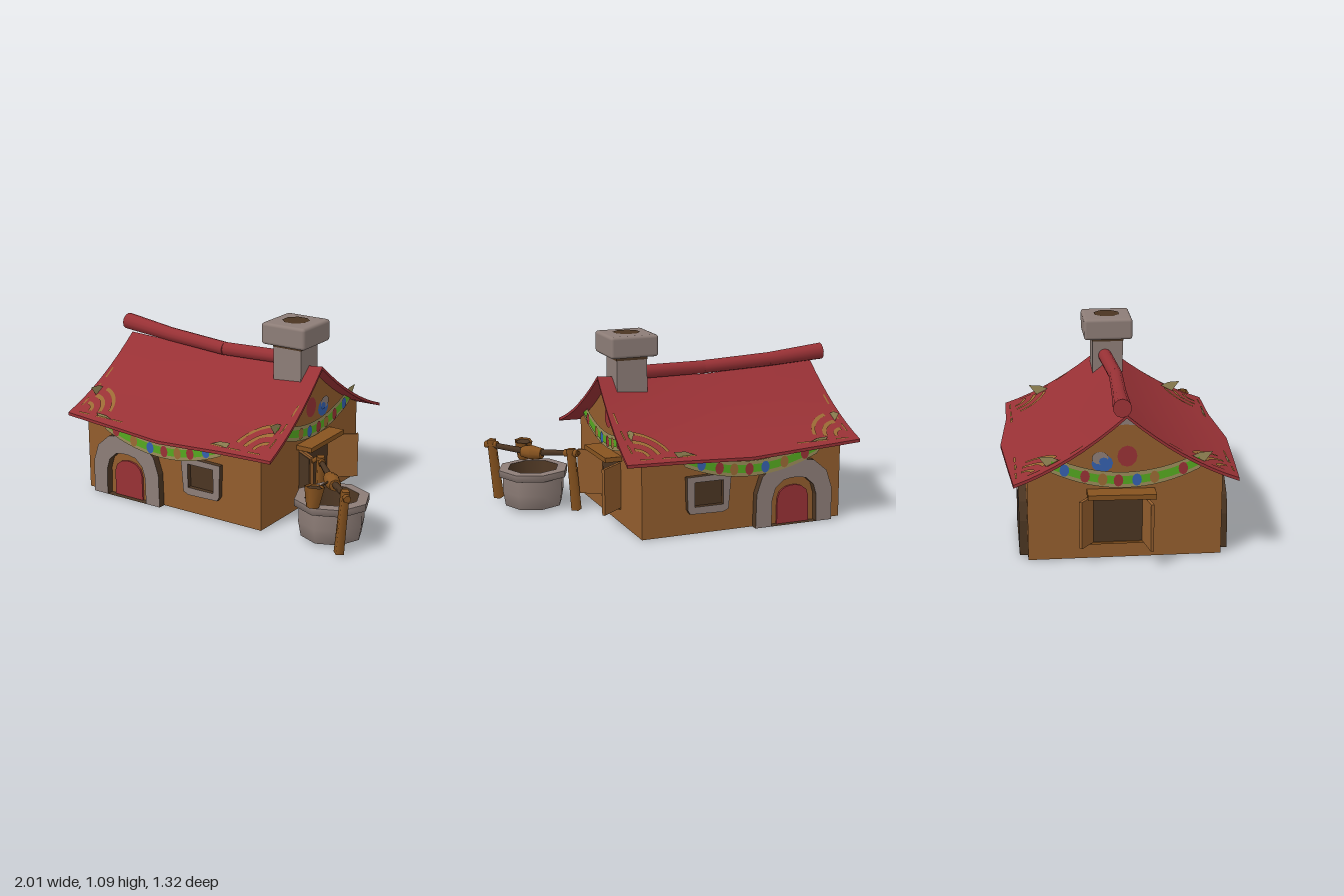
import * as THREE from 'three';
import { RoundedBoxGeometry } from 'three/addons/geometries/RoundedBoxGeometry.js';

const mat = (name, color) => new THREE.MeshStandardMaterial({ name, color, side: THREE.DoubleSide });
const V = (x, y, z = 0) => new THREE.Vector3(x, y, z);

// Roof shape, sampled along its length
const ROOF_X = [-0.91, -0.62, -0.22, 0.2, 0.47];
const RIDGE_Y = [0.84, 0.83, 0.805, 0.815, 0.84];
const EAVE_Y = [0.475, 0.465, 0.45, 0.458, 0.465];
const EAVE_Z = [0.605, 0.63, 0.66, 0.62, 0.615];
function along(values, x) {
  let i = 0;
  while (i < 3 && x > ROOF_X[i + 1]) i++;
  const f = THREE.MathUtils.clamp((x - ROOF_X[i]) / (ROOF_X[i + 1] - ROOF_X[i]), 0, 1);
  return THREE.MathUtils.lerp(values[i], values[i + 1], f);
}
function roofY(x, z) {
  const t = Math.abs(z) / along(EAVE_Z, x);
  return THREE.MathUtils.lerp(along(RIDGE_Y, x), along(EAVE_Y, x), t) - 0.16 * t * (1 - t);
}

// Band of quads between two rows of points
function strip(a, b) {
  const pos = [], index = [];
  a.forEach((p, i) => {
    pos.push(...b[i].toArray(), ...p.toArray());
    if (i) { const k = 2 * i; index.push(k - 2, k, k - 1, k, k + 1, k - 1); }
  });
  const g = new THREE.BufferGeometry();
  g.setAttribute('position', new THREE.Float32BufferAttribute(pos, 3));
  g.setIndex(index);
  g.computeVertexNormals();
  return g;
}

export function createModel() {
  const wall = mat('ochre wall', 0x925d2d), red = mat('roof red', 0x983135);
  const dark = mat('dark brown', 0x4b3522), stone = mat('stone grey', 0x8d7d77);
  const gold = mat('faded gold', 0x9a6a34), wood = mat('wood', 0x87531f);
  const green = mat('garland green', 0x55a820), tan = mat('garland tan', 0x9b8c59);
  const blue = mat('paint blue', 0x3560ad);
  const model = new THREE.Group();

  function add(parent, name, geometry, material, x = 0, y = 0, z = 0) {
    const m = new THREE.Mesh(geometry, material);
    m.name = name;
    m.position.set(x, y, z);
    parent.add(m);
    return m;
  }
  function group(parent, name) {
    const g = new THREE.Group();
    g.name = name;
    parent.add(g);
    return g;
  }
  const box = (parent, name, w, h, d, m, x, y, z) => add(parent, name, new THREE.BoxGeometry(w, h, d), m, x, y, z);
  // Tapered bar between two points
  function rod(parent, name, a, b, ra, rb, m, sides = 8) {
    const r = add(parent, name, new THREE.CylinderGeometry(rb, ra, a.distanceTo(b), sides), m);
    r.position.lerpVectors(a, b, 0.5);
    r.quaternion.setFromUnitVectors(V(0, 1, 0), b.clone().sub(a).normalize());
    return r;
  }
  function spot(parent, name, x, y, z, rx, ry, m) {
    add(parent, name, new THREE.CircleGeometry(1, 12), m, x, y, z).scale.set(rx, ry, 1);
  }

  // Garland: tan band, green centre and coloured spots, hanging in a curve
  function garland(parent, half, low, curve, spots) {
    const g = group(parent, 'garland');
    const mid = s => low + curve * s * s;
    const row = (dy, z, tip) => {
      const p = [];
      for (let i = -8; i <= 8; i++) p.push(V(half * i / 8, mid(half * i / 8) + dy, z));
      const t = V(half + 0.07, mid(half) + 0.05, z);
      return tip ? [V(-t.x, t.y, z), ...p, t] : p;
    };
    add(g, 'garlandBand', strip(row(0.046, 0, true), row(-0.044, 0, true)), tan);
    add(g, 'garlandStripe', strip(row(0.024, 0.003), row(-0.022, 0.003)), green);
    const paints = [red, gold, blue, red, gold, red, blue];
    spots.forEach((s, i) => spot(g, 'garlandSpot', s, mid(s), 0.006, 0.026, 0.035, paints[i]));
    return g;
  }

  // Long walls, each with a door and a window
  const arch = (w, h, spring) => {
    const half = [[w, 0], [w * 0.98, spring], [w * 0.84, spring + (h - spring) * 0.55], [w * 0.5, h * 0.965], [w * 0.15, h]];
    return [...half, ...half.map(([x, y]) => [-x, y]).reverse()].map(([x, y]) => new THREE.Vector2(x, y));
  };
  const extrude = (shape, depth) => new THREE.ExtrudeGeometry(shape, { depth, bevelEnabled: false });
  for (const side of [1, -1]) {
    const f = group(model, side > 0 ? 'frontFacade' : 'backFacade');
    f.scale.z = side;
    add(f, 'longWall', new THREE.PlaneGeometry(1.24, 0.475), wall, -0.22, 0.2375, 0.53);
    const surround = new THREE.Shape(arch(0.245, 0.385, 0.2));
    surround.holes.push(new THREE.Path(arch(0.145, 0.28, 0.16)));
    add(f, 'doorSurround', extrude(surround, 0.07), [stone, dark], -0.525, 0, 0.505);
    add(f, 'door', extrude(new THREE.Shape(arch(0.102, 0.225, 0.15)), 0.03), red, -0.532, 0, 0.512);
    const frame = new THREE.Shape([[-0.115, 0.135], [-0.08, 0.12], [0.12, 0.125], [0.135, 0.15], [0.14, 0.34],
      [-0.11, 0.345], [-0.13, 0.32]].map(p => new THREE.Vector2(...p)));
    frame.holes.push(new THREE.Path([[-0.083, 0.165], [0.093, 0.165], [0.093, 0.308], [-0.083, 0.308]].map(p => new THREE.Vector2(...p))));
    add(f, 'windowFrame', extrude(frame, 0.05), [stone, dark], 0, 0, 0.51);
    box(f, 'windowPane', 0.17, 0.14, 0.03, dark, 0.005, 0.236, 0.52);
    garland(f, 0.41, 0.362, 0.55, [-0.33, -0.2, -0.08, 0.02, 0.115, 0.205, 0.315]).position.set(-0.25, 0, 0.582);
  }

  // Gable ends: wall, stone trim, shuttered window, painted fruit and garland
  const gable = [[0, 0.765], [0.05, 0.76], [0.165, 0.70], [0.31, 0.60], [0.45, 0.52], [0.53, 0.475]];
  const outline = [...gable.slice(1).map(([s, y]) => [-s, y]).reverse(), ...gable];
  for (const side of [1, -1]) {
    const mirror = group(model, side > 0 ? 'leftEnd' : 'rightEnd');
    mirror.scale.x = side;
    const e = group(mirror, 'gableEnd');
    e.rotation.y = Math.PI / 2;
    const wallX = side > 0 ? 0.4 : -0.84;
    e.position.x = wallX * side;
    const tops = outline.map(([s, y]) => V(s, y));
    add(e, 'gableWall', strip(tops, outline.map(([s]) => V(s, 0))), wall);
    add(e, 'gableTrim', strip(outline.map(([s]) => V(s, roofY(wallX, s) - 0.012)), tops), stone);
    box(e, 'endWindow', 0.28, 0.28, 0.008, dark, 0.04, 0.23, 0.004);
    box(e, 'endWindowSill', 0.3, 0.012, 0.015, wood, 0.04, 0.09, 0.007);
    box(e, 'lintel', 0.37, 0.028, 0.1, wood, 0.025, 0.388, 0.05).rotation.z = 0.015;
    // Shutters swing out from the window edges: [hinge, tip along wall, tip outward]
    const swings = side > 0 ? [[-0.12, -0.2, 0.13], [0.18, 0.3, 0.145]] : [[-0.1, -0.13, 0.16], [0.18, 0.25, 0.09]];
    swings.forEach(([h, s, out], i) => {
      const sh = group(e, 'shutter');
      sh.position.set(h, 0.23, 0);
      sh.rotation.y = -Math.atan2(out, s - h);
      const len = Math.hypot(out, s - h);
      box(sh, 'shutterBoard', len, 0.27, 0.018, wall, len / 2, 0, 0);
      if (side > 0 && i === 0) box(sh, 'shutterPanel', len * 0.84, 0.24, 0.004, dark, len / 2, 0, 0.011);
    });
    spot(e, 'paintedFruit', -0.01, 0.587, 0.004, 0.054, 0.06, red);
    spot(e, 'paintedBowl', 0.125, 0.55, 0.004, 0.058, 0.05, blue);
    spot(e, 'paintedCream', 0.137, 0.582, 0.007, 0.045, 0.036, stone);
    spot(e, 'paintedBerry', 0.118, 0.563, 0.009, 0.025, 0.022, blue);
    garland(e, 0.4, 0.457, 0.62, [-0.31, -0.155, -0.06, 0.04, 0.125, 0.22, 0.33]).position.z = 0.02;
  }

  // Roof slopes: a subdivided slab bent to the roof shape, with gold corner ornaments
  for (const side of [1, -1]) {
    const r = group(model, side > 0 ? 'frontRoof' : 'backRoof');
    const g = new THREE.BoxGeometry(1, 1, 1, 4, 1, 8), p = g.attributes.position;
    for (let i = 0; i < p.count; i++) {
      const k = Math.round((p.getX(i) + 0.5) * 4), t = side * p.getZ(i) + 0.5;
      const z = side * t * EAVE_Z[k];
      const flare = k === 0 ? -0.02 : k === 4 ? 0.045 : 0;
      p.setXYZ(i, ROOF_X[k] + flare * t, roofY(ROOF_X[k], z) + (p.getY(i) > 0 ? 0 : -0.018), z);
    }
    g.computeVertexNormals();
    add(r, 'roofSlope', g, red);
    const onRoof = (x, z) => V(x, roofY(x, z) + 0.006, side * z);
    const line = (x1, z1, x2, z2, w) => {
      const a = [], b = [], dx = x2 - x1, dz = z2 - z1, l = Math.hypot(dx, dz);
      for (let i = 0; i <= 4; i++) {
        const x = x1 + dx * i / 4, z = z1 + dz * i / 4;
        a.push(onRoof(x - dz / l * w, z + dx / l * w));
        b.push(onRoof(x + dz / l * w, z - dx / l * w));
      }
      add(r, 'roofBorder', strip(a, b), gold);
    };
    for (const [cx, dir] of [[-0.86, 1], [0.43, -1]]) {
      for (const [radius, w, from, to] of [[0.06, 0.012, 0, 1], [0.125, 0.013, 0.05, 0.95], [0.19, 0.011, 0.1, 0.85]]) {
        const a = [], b = [];
        for (let i = 0; i <= 10; i++) {
          const q = Math.PI / 2 * THREE.MathUtils.lerp(from, to, i / 10), c = Math.cos(q) * dir, s = Math.sin(q);
          a.push(onRoof(cx + c * (radius + w), 0.56 - s * (radius + w)));
          b.push(onRoof(cx + c * (radius - w), 0.56 - s * (radius - w)));
        }
        add(r, 'cornerArc', strip(a, b), gold);
      }
      const edge = cx - dir * 0.025;
      for (const z of [0.3, 0.42, 0.53]) line(edge, z, edge, z - 0.07, 0.005);
      for (const d of [0, 0.13, 0.25]) line(cx + dir * d, 0.588, cx + dir * (d + 0.08), 0.588, 0.005);
    }
  }

  // Ridge roll
  const roll = [[-0.965, 0.897, -0.03, 0.05], [-0.62, 0.866, -0.012, 0.042], [-0.2, 0.845, 0.01, 0.04], [0.22, 0.85, -0.018, 0.041]];
  const ridge = group(model, 'ridgeRoll');
  for (let i = 0; i < 3; i++) {
    const [a, b] = [roll[i], roll[i + 1]];
    rod(ridge, 'rollSection', V(a[0], a[1], a[2]), V(b[0], b[1], b[2]), a[3], b[3], red, 12);
  }

  // Chimney
  const chimney = group(model, 'chimney');
  box(chimney, 'chimneyShaft', 0.185, 0.23, 0.182, stone, 0.288, 0.85, 0);
  box(chimney, 'chimneyShadowBand', 0.19, 0.02, 0.187, dark, 0.288, 0.948, 0);
  add(chimney, 'chimneyCap', new RoundedBoxGeometry(0.29, 0.127, 0.29, 2, 0.018), stone, 0.288, 1.0215, 0);
  const flue = add(chimney, 'flue', new THREE.CircleGeometry(0.08, 8, Math.PI / 8), dark, 0.288, 1.088, 0);
  flue.rotation.x = -Math.PI / 2;

  // Well
  const well = group(model, 'well');
  well.position.set(0.76, 0, 0.365);
  const lathe = (name, pts, m) => add(well, name, new THREE.LatheGeometry(pts.map(q => new THREE.Vector2(...q)), 8), m);
  lathe('wellBody', [[0, 0.008], [0.15, 0.008], [0.175, 0.015], [0.19, 0.1], [0.188, 0.2]], stone);
  lathe('wellRimSide', [[0.188, 0.192], [0.214, 0.195], [0.214, 0.235]], stone);
  lathe('wellRimTop', [[0.214, 0.235], [0.155, 0.238]], stone);
  lathe('wellInside', [[0.155, 0.238], [0.125, 0.11]], dark);
  lathe('wellFloor', [[0.125, 0.11], [0, 0.11]], stone);

  // Windlass over the well, with posts, drum, crank and bucket
  const windlass = group(model, 'windlass');
  const ends = [[V(0.555, 0, 0.165), V(0.578, 0.375, 0.185)], [V(0.925, 0.01, 0.565), V(0.96, 0.38, 0.57)]];
  for (const [a, b] of ends) {
    rod(windlass, 'post', a, b, 0.032, 0.028, wood, 4);
    rod(windlass, 'postPeg', V(b.x - 0.03, 0.35, b.z - 0.03), V(b.x + 0.03, 0.345, b.z + 0.03), 0.022, 0.022, wood, 6);
  }
  const left = V(0.55, 0.352, 0.16), mid = V(0.762, 0.325, 0.37), right = V(0.98, 0.348, 0.585);
  rod(windlass, 'axle', left, mid, 0.016, 0.02, dark, 6);
  rod(windlass, 'axle', mid, right, 0.02, 0.016, dark, 6);
  const d = V(0.047, 0, 0.047);
  rod(windlass, 'drum', mid.clone().sub(d), mid, 0.034, 0.046, wood, 8);
  rod(windlass, 'drum', mid, mid.clone().add(d), 0.046, 0.034, wood, 8);
  rod(windlass, 'crank', left, V(0.525, 0.34, 0.2), 0.014, 0.014, wood, 6);
  const bucket = group(windlass, 'bucket');
  bucket.position.set(0.762, 0.3, 0.565);
  bucket.rotation.x = -0.15;
  add(bucket, 'bucketSide', new THREE.CylinderGeometry(0.056, 0.035, 0.115, 6, 1, true), wood);
  add(bucket, 'bucketBase', new THREE.CylinderGeometry(0.036, 0.033, 0.01, 6), wood, 0, -0.055, 0);
  add(bucket, 'bucketInside', new THREE.CylinderGeometry(0.045, 0.045, 0.008, 6), dark, 0, 0.045, 0);
  rod(windlass, 'bucketRope', V(0.762, 0.34, 0.565), V(0.762, 0.335, 0.39), 0.006, 0.006, dark, 5);

  return model;
}
